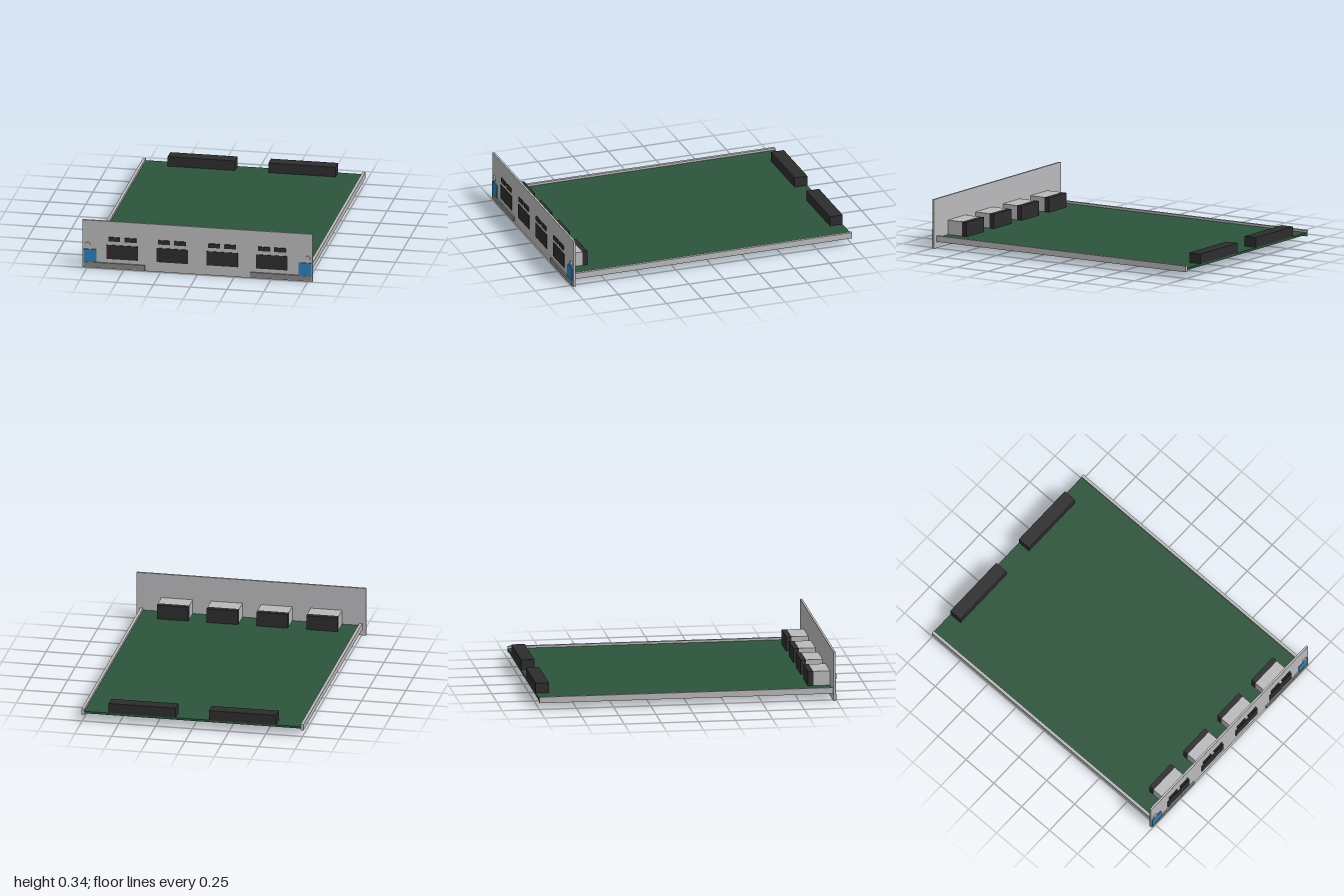
import * as THREE from 'three';

export function createModel() {
  const model = new THREE.Group();
  model.name = 'plugInCircuitCard';

  const material = (name, color) => {
    const m = new THREE.MeshStandardMaterial({ color });
    m.name = name;
    return m;
  };
  const metal = material('lightMetal', 0xbababc);
  const lever = material('leverGrey', 0x858586);
  const black = material('blackPlastic', 0x2d2d2d);
  const green = material('boardGreen', 0x2c543c);
  const blue = material('latchBlue', 0x2e80b8);

  // Box given by its lower and upper limits on each axis
  const box = (name, mat, [x0, x1], [y0, y1], [z0, z1]) => {
    const mesh = new THREE.Mesh(new THREE.BoxGeometry(x1 - x0, y1 - y0, z1 - z0), mat);
    mesh.position.set((x0 + x1) / 2, (y0 + y1) / 2, (z0 + z1) / 2);
    mesh.name = name;
    model.add(mesh);
  };
  const span = (center, size) => [center - size / 2, center + size / 2];

  // Board and face plate
  box('circuitBoard', green, [-0.742, 0.742], [0.056, 0.07], [-1, 0.978]);
  box('facePlate', metal, [-0.782, 0.782], [0, 0.335], [0.977, 0.991]);

  // Side rails, backplane plugs, ejector levers, latches and screws
  for (const side of [-1, 1]) {
    const label = side > 0 ? 'left' : 'right';
    box(label + 'Rail', metal, span(side * 0.746, 0.02), [0.044, 0.085], [-1, 0.977]);
    box(label + 'BackplanePlug', black, span(side * 0.342, 0.457), [0.07, 0.138], [-1, -0.91]);
    box(label + 'EjectorLever', lever, span(side * 0.566, 0.417), [0.008, 0.042], [0.991, 1]);
    box(label + 'Latch', blue, span(side * 0.731, 0.088), [0.042, 0.132], [0.991, 0.997]);

    const screw = new THREE.Mesh(new THREE.CylinderGeometry(0.02, 0.02, 0.009, 24), metal);
    screw.rotation.x = Math.PI / 2;
    screw.position.set(side * 0.746, 0.16, 0.9955);
    screw.name = label + 'Screw';
    model.add(screw);
  }

  // Four ports, each with a metal cage, black rear, opening and two lamps
  for (let i = 0; i < 4; i++) {
    const x = -0.511 + i * 0.339;
    box('portCage', metal, span(x, 0.213), [0.07, 0.168], [0.865, 0.977]);
    box('portRear', black, span(x, 0.213), [0.07, 0.168], [0.828, 0.865]);
    box('portOpening', black, span(x, 0.213), [0.07, 0.169], [0.991, 0.995]);
    for (const dx of [-0.0545, 0.0545]) {
      box('indicatorLamp', black, span(x + dx, 0.08), [0.196, 0.225], [0.991, 0.998]);
    }
  }
  return model;
}
